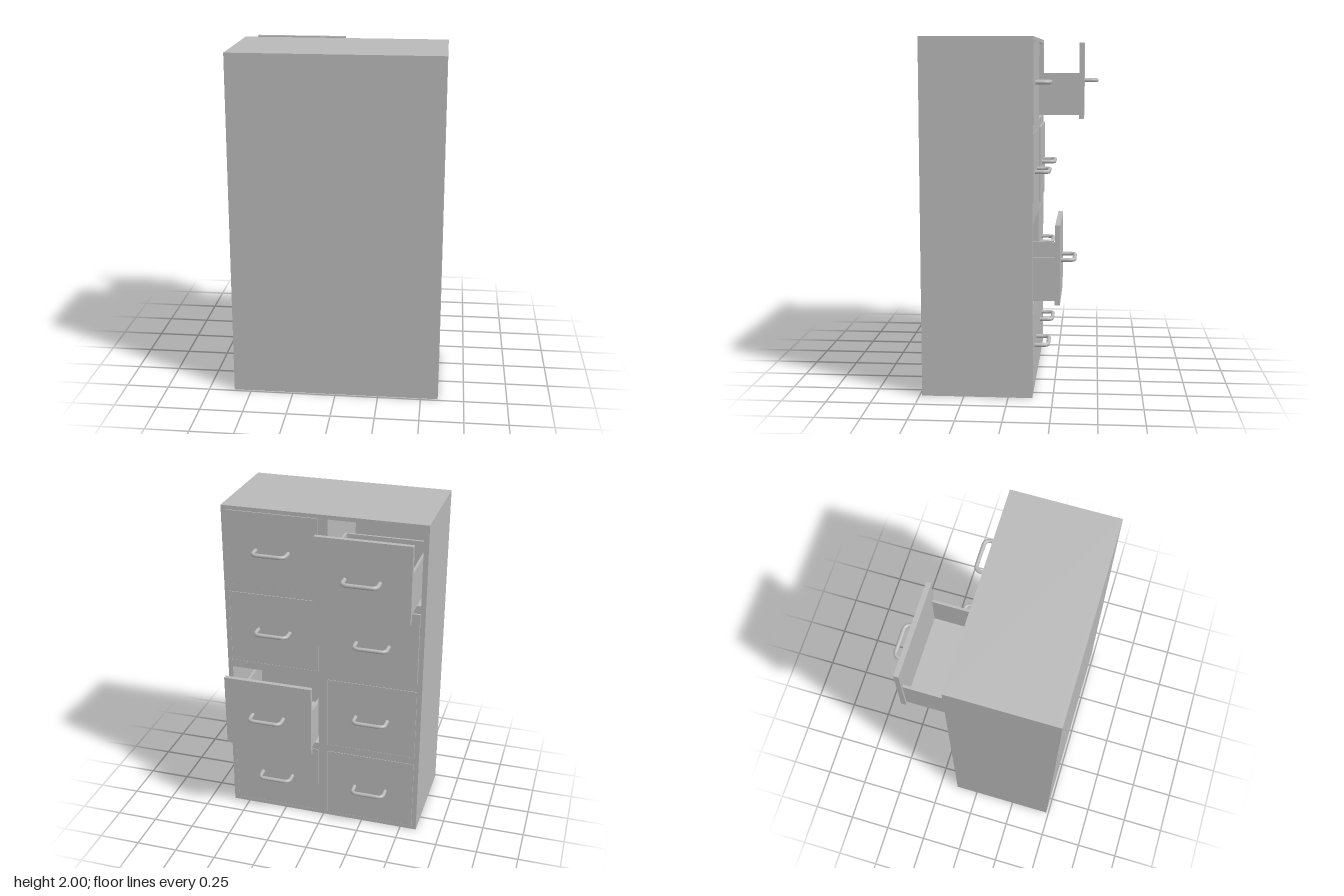
import * as THREE from 'three';

const FRONT_Z = -0.136, BACK_Z = 0.486;
const HALF_W = 0.27, HALF_H = 0.225; // drawer front half size

const steel = new THREE.MeshStandardMaterial({ color: 0xb8b8b8 });
steel.name = 'grey steel';

function box(name, x0, x1, y0, y1, z0, z1) {
  const mesh = new THREE.Mesh(new THREE.BoxGeometry(x1 - x0, y1 - y0, z1 - z0), steel);
  mesh.position.set((x0 + x1) / 2, (y0 + y1) / 2, (z0 + z1) / 2);
  mesh.name = name;
  return mesh;
}

function rect(path, cx, cy, hw, hh) {
  path.moveTo(cx - hw, cy - hh);
  path.lineTo(cx + hw, cy - hh);
  path.lineTo(cx + hw, cy + hh);
  path.lineTo(cx - hw, cy + hh);
  path.closePath();
  return path;
}

// Bent-rod pull, legs starting on z = 0 and reaching towards -z
function handleGeometry() {
  const w = 0.097, d = -0.076, r = 0.035;
  const v = (x, z) => new THREE.Vector3(x, 0, z);
  const path = new THREE.CurvePath();
  path.add(new THREE.LineCurve3(v(-w, 0.005), v(-w, d + r)));
  path.add(new THREE.QuadraticBezierCurve3(v(-w, d + r), v(-w, d), v(-w + r, d)));
  path.add(new THREE.LineCurve3(v(-w + r, d), v(w - r, d)));
  path.add(new THREE.QuadraticBezierCurve3(v(w - r, d), v(w, d), v(w, d + r)));
  path.add(new THREE.LineCurve3(v(w, d + r), v(w, 0.005)));
  return new THREE.TubeGeometry(path, 48, 0.0115, 14, false);
}

// Drawer with its outer face on z = 0, centred on its front panel
function createDrawer(handleGeo) {
  const drawer = new THREE.Group();
  const w = 0.2575, t = 0.0145, y0 = -0.203, y1 = 0.04, z0 = 0.028, z1 = 0.58;
  drawer.add(
    box('drawerFront', -HALF_W, HALF_W, -HALF_H, HALF_H, 0, z0),
    box('drawerSide', -w, -w + t, y0, y1, z0, z1),
    box('drawerSide', w - t, w, y0, y1, z0, z1),
    box('drawerBack', -w + t, w - t, y0, y1, z1 - t, z1),
    box('drawerBottom', -w + t, w - t, y0, y0 + t, z0, z1 - t)
  );
  const handle = new THREE.Mesh(handleGeo, steel);
  handle.name = 'handle';
  drawer.add(handle);
  return drawer;
}

export function createModel() {
  const model = new THREE.Group();
  model.name = 'drawerCabinet';

  // How far each drawer is pulled out, bottom row first: [-x column, +x column]
  const pulls = [[0.001, 0.001], [0.001, 0.1495], [0.01, 0.001], [0.2665, 0.003]];

  // Cabinet carcass: one solid frame with a hole for each drawer
  const outline = rect(new THREE.Shape(), 0, 1, 0.6, 1);
  const handleGeo = handleGeometry();
  pulls.forEach((row, r) => row.forEach((pull, c) => {
    const x = c ? 0.3 : -0.3, y = 0.25 + r * 0.5;
    outline.holes.push(rect(new THREE.Path(), x, y, HALF_W + 0.0015, HALF_H + 0.0015));
    const drawer = createDrawer(handleGeo);
    drawer.name = `drawerRow${r + 1}${c ? 'Left' : 'Right'}`;
    drawer.position.set(x, y, FRONT_Z - pull);
    model.add(drawer);
  }));
  const depth = BACK_Z - 0.02 - FRONT_Z;
  const frame = new THREE.Mesh(new THREE.ExtrudeGeometry(outline, { depth, bevelEnabled: false }), steel);
  frame.position.z = FRONT_Z;
  frame.name = 'cabinetFrame';
  model.add(frame, box('backPanel', -0.6, 0.6, 0, 2, BACK_Z - 0.02, BACK_Z));
  return model;
}
